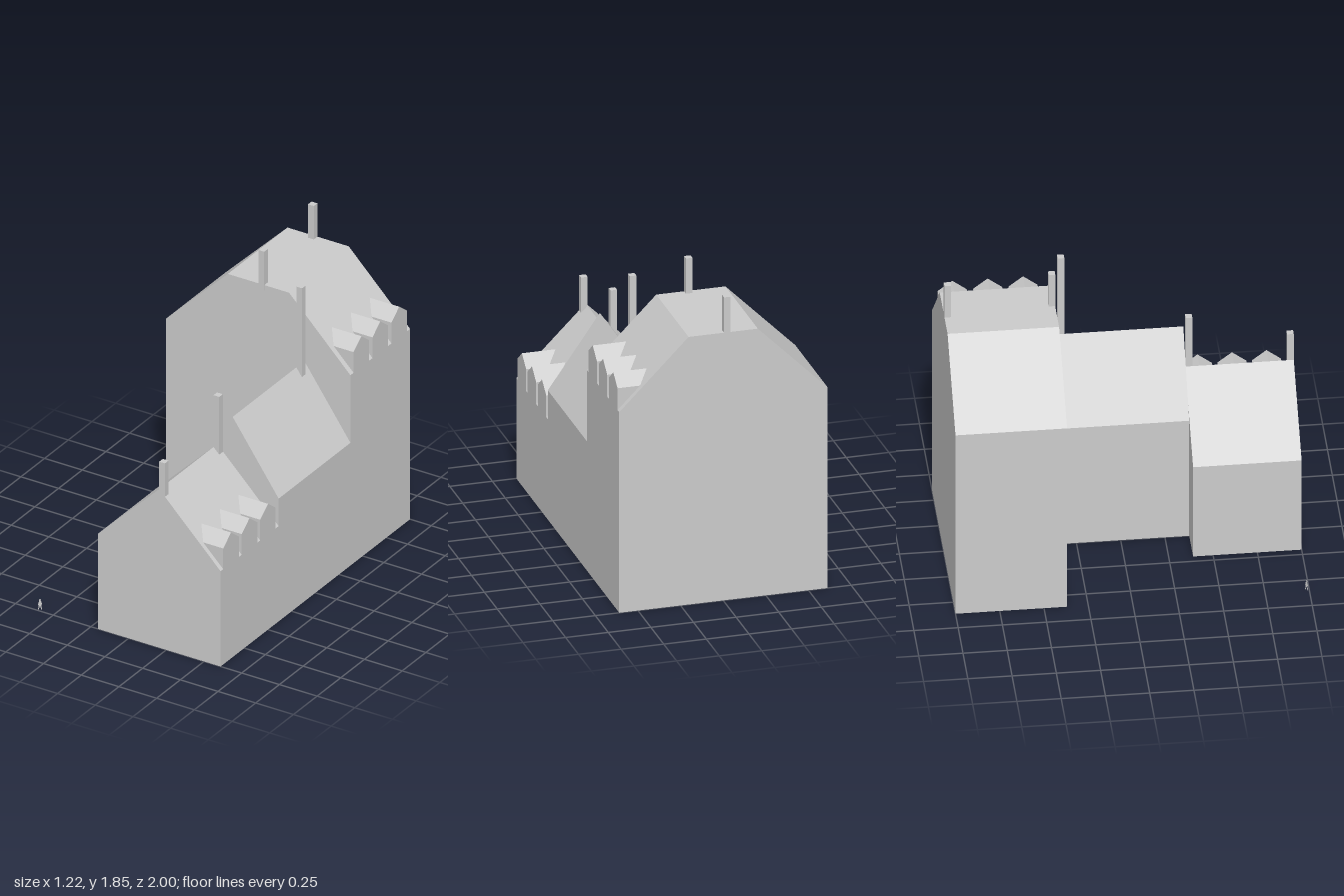
import * as THREE from 'three';

export function createModel() {
  const model = new THREE.Group();
  const grey = new THREE.MeshStandardMaterial({ color: 0xcccccc, flatShading: true });

  const add = (name, geometry, parent = model, material = grey) => {
    const mesh = new THREE.Mesh(geometry, material);
    mesh.name = name;
    parent.add(mesh);
    return mesh;
  };
  const outline = (points) => new THREE.Shape(points.map(([x, y]) => new THREE.Vector2(x, y)));
  const prism = (points, depth) =>
    new THREE.ExtrudeGeometry(outline(points), { depth, bevelEnabled: false });

  // Houses: gable outline in x/y, run from z0 to z1
  const house = (name, points, z0, z1) => {
    add(name, prism(points, z1 - z0)).position.z = z0;
  };
  house('rearHouse', [[-0.613, 0], [0.61, 0], [0.61, 1.225], [0.203, 1.635], [-0.203, 1.635], [-0.613, 1.225]], -1, -0.37);
  house('middleHouse', [[0, 0], [0.61, 0], [0.61, 0.79], [0.305, 1.225], [0, 0.79]], -0.37, 0.387);
  house('frontHouse', [[-0.203, 0], [0.61, 0], [0.61, 0.613], [0.203, 1.02], [-0.203, 0.613]], 0.387, 1);

  // Dormers: three per row, flush with the right-hand wall and running into the roof
  const dormerRow = (name, eave, centres) => {
    const row = new THREE.Group();
    row.name = name;
    const w = 0.082;
    for (const z of centres) {
      const g = prism([[-w, 0], [w, 0], [w, 0.133], [0, 0.197], [-w, 0.133]], 0.205).rotateY(Math.PI / 2);
      add('dormer', g, row).position.set(0.405, eave, z);
    }
    model.add(row);
  };
  dormerRow('frontDormers', 0.613, [0.89, 0.695, 0.5]);
  dormerRow('rearDormers', 1.225, [-0.485, -0.685, -0.885]);

  // Chimneys: centre x, centre z, bottom, top
  for (const [x, z, y0, y1] of [
    [-0.024, -0.981, 1.6, 1.85],
    [0.02, -0.388, 1.6, 1.85],
    [0.324, -0.304, 1.175, 1.745],
    [0.222, 0.408, 0.98, 1.353],
    [0.222, 0.981, 0.98, 1.197],
  ]) {
    add('chimney', new THREE.BoxGeometry(0.038, y1 - y0, 0.038)).position.set(x, (y0 + y1) / 2, z);
  }

  // Small flat standing figure beside the front house
  const flat = grey.clone();
  flat.side = THREE.DoubleSide;
  const figure = new THREE.Group();
  figure.name = 'scaleFigure';
  add('body', new THREE.ShapeGeometry(outline([
    [-0.012, 0], [-0.007, 0], [0, 0.025], [0.007, 0], [0.012, 0], [0.007, 0.03],
    [0.012, 0.032], [0.006, 0.054], [-0.006, 0.054], [-0.012, 0.032], [-0.007, 0.03],
  ])), figure, flat);
  add('head', new THREE.CircleGeometry(0.006, 8), figure, flat).position.y = 0.061;
  figure.position.set(-0.597, 0, 0.985);
  figure.rotation.y = 0.7;
  model.add(figure);

  return model;
}
